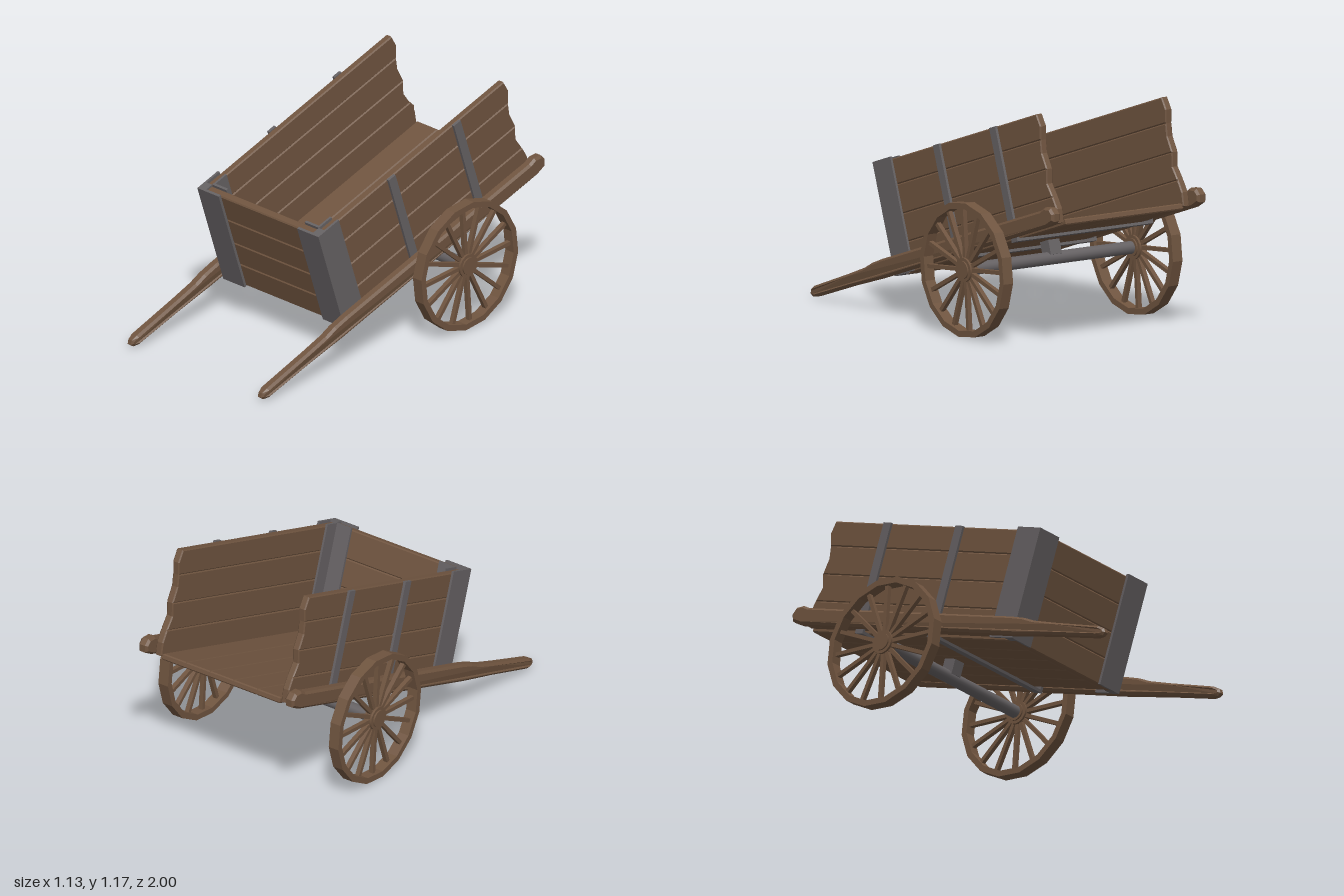
import * as THREE from 'three';

const wood = new THREE.MeshStandardMaterial({ color: 0x6f543f });
wood.name = 'brown wood';
const iron = new THREE.MeshStandardMaterial({ color: 0x656163 });
iron.name = 'grey iron';

function add(parent, name, geometry, material, x = 0, y = 0, z = 0) {
  const mesh = new THREE.Mesh(geometry, material);
  mesh.name = name;
  mesh.position.set(x, y, z);
  parent.add(mesh);
  return mesh;
}

// Board with chamfered edges: outline in XY, thickness centred on z
function slab(points, thickness, bevel = 0.006) {
  const shape = new THREE.Shape(points.map(([a, b]) => new THREE.Vector2(a, b)));
  const g = new THREE.ExtrudeGeometry(shape, {
    depth: thickness - 2 * bevel, bevelEnabled: true, bevelSegments: 1,
    bevelSize: bevel, bevelThickness: bevel, bevelOffset: -bevel,
  });
  return g.translate(0, 0, bevel - thickness / 2);
}
const rect = (a0, b0, a1, b1) => [[a0, b0], [a1, b0], [a1, b1], [a0, b1]];

// Box given by its limits
function block(parent, name, material, x0, x1, y0, y1, z0, z1) {
  return add(parent, name, new THREE.BoxGeometry(x1 - x0, y1 - y0, z1 - z0), material,
    (x0 + x1) / 2, (y0 + y1) / 2, (z0 + z1) / 2);
}

// Worn rear edge of the side walls, as [height, z]
const rearEdge = [[0.315, -1.1], [0.384, -1.11], [0.433, -1.099], [0.521, -1.071], [0.586, -1.093],
  [0.675, -1.077], [0.745, -1.089], [0.806, -1.11], [0.872, -1.095]];
function rearAt(v) {
  const i = Math.max(1, rearEdge.findIndex((p) => p[0] >= v));
  const [v0, z0] = rearEdge[i - 1], [v1, z1] = rearEdge[i];
  return z0 + (z1 - z0) * (v - v0) / (v1 - v0);
}

function createBody() {
  const body = new THREE.Group();
  body.name = 'cartBody';

  // Floor planks
  const w = 0.148;
  for (let i = 0; i < 5; i++) {
    const x = (i - 2) * w;
    const g = slab(rect(x - w / 2, -0.235, x + w / 2, 1.1), 0.032).rotateX(-Math.PI / 2);
    add(body, 'floorPlank', g, wood, 0, 0.316, 0);
  }

  // Front planks
  const frontSeams = [0.3, 0.437, 0.574, 0.722, 0.873];
  for (let i = 0; i < 4; i++) {
    add(body, 'frontPlank', slab(rect(-0.376, frontSeams[i], 0.376, frontSeams[i + 1]), 0.044), wood, 0, 0, 0.258);
  }

  // Side planks with a ragged rear end
  const sideSeams = [0.315, 0.45, 0.592, 0.741, 0.872];
  for (const s of [1, -1]) {
    for (let i = 0; i < 4; i++) {
      const lo = sideSeams[i], hi = sideSeams[i + 1];
      const rear = rearEdge.filter(([v]) => v > lo + 0.01 && v < hi - 0.01).map(([v, z]) => [z, v]).reverse();
      const outline = [[0.24, lo], [0.24, hi], [rearAt(hi), hi], ...rear, [rearAt(lo), lo]].reverse();
      add(body, 'sidePlank', slab(outline, 0.04).rotateY(-Math.PI / 2), wood, s * 0.395, 0, 0);
    }
  }

  // Iron corner plates, inside and outside
  for (const s of [1, -1]) {
    const corner = new THREE.Group();
    corner.name = 'cornerIron';
    body.add(corner);
    const plate = (name, x0, x1, y0, y1, z0, z1) =>
      block(corner, name, iron, Math.min(s * x0, s * x1), Math.max(s * x0, s * x1), y0, y1, z0, z1);
    plate('frontPlate', 0.276, 0.427, 0.3, 0.883, 0.279, 0.294);
    plate('sidePlate', 0.414, 0.427, 0.3, 0.883, 0.142, 0.28);
    plate('innerFrontPlate', 0.276, 0.376, 0.332, 0.883, 0.223, 0.237);
    plate('innerSidePlate', 0.364, 0.376, 0.332, 0.883, 0.142, 0.224);
    plate('cornerPost', 0.376, 0.415, 0.3, 0.883, 0.238, 0.28);
  }

  // Iron straps up the sides and under the floor
  for (const z of [-0.25, -0.735]) {
    for (const s of [1, -1]) block(body, 'sideStrap', iron, s * 0.421 - 0.008, s * 0.421 + 0.008, 0.286, 0.873, z - 0.025, z + 0.025);
    block(body, 'floorStrap', iron, -0.42, 0.42, 0.286, 0.301, z - 0.025, z + 0.025);
  }
  block(body, 'axleBlock', iron, -0.035, 0.035, 0.225, 0.302, -0.49, -0.42);

  // Shafts: thick under the body, thinner towards the handles
  const shaft = [[-1.09, 0.305], [0.35, 0.303], [0.6, 0.31], [0.9, 0.312], [0.935, 0.32], [0.948, 0.338],
    [0.935, 0.358], [0.9, 0.367], [0.6, 0.374], [0.46, 0.38], [0.39, 0.392], [0.3, 0.396], [-1.06, 0.392],
    [-1.1, 0.402], [-1.145, 0.39], [-1.163, 0.355], [-1.15, 0.318]];
  for (const s of [1, -1]) {
    const g = slab(shaft, 0.056, 0.012).rotateY(-Math.PI / 2);
    // narrow the handle end
    const p = g.attributes.position;
    for (let i = 0; i < p.count; i++) if (p.getZ(i) > 0.92) p.setX(i, p.getX(i) * 0.7);
    g.computeVertexNormals();
    add(body, 'shaft', g, wood, s * 0.459, 0, 0);
  }
  return body;
}

function createWheel() {
  const wheel = new THREE.Group();
  wheel.name = 'wheel';
  const sides = 16, start = -4.5 * Math.PI / 180;
  const ring = (r) => Array.from({ length: sides }, (_, i) => {
    const a = start + i * 2 * Math.PI / sides;
    return new THREE.Vector2(r * Math.cos(a), r * Math.sin(a));
  });
  // Rim
  const shape = new THREE.Shape(ring(0.343));
  shape.holes.push(new THREE.Path(ring(0.312)));
  add(wheel, 'rim', new THREE.ExtrudeGeometry(shape, { depth: 0.06, bevelEnabled: false }).translate(0, 0, -0.03), wood);
  // Spokes
  for (let i = 0; i < sides; i++) {
    const a = -start + i * 2 * Math.PI / sides;
    const g = new THREE.BoxGeometry(0.28, 0.02, 0.024).translate(0.18, 0, 0);
    add(wheel, 'spoke', g, wood).rotation.z = a;
  }
  // Hub with a smaller cap on each side
  add(wheel, 'hub', new THREE.CylinderGeometry(0.062, 0.062, 0.046, 16).rotateX(Math.PI / 2), wood);
  add(wheel, 'hubCap', new THREE.CylinderGeometry(0.046, 0.046, 0.062, 16).rotateX(Math.PI / 2), wood);
  wheel.rotation.y = Math.PI / 2;
  return wheel;
}

export function createModel() {
  const cart = new THREE.Group();
  cart.name = 'handCart';

  // Body tipped forward onto its handles
  const body = createBody();
  body.rotation.x = 0.32;
  body.position.x = -0.011;
  cart.add(body);

  // Axle and wheels
  const y = 0.343, z = -0.365;
  add(cart, 'axle', new THREE.CylinderGeometry(0.033, 0.033, 1.05, 16).rotateZ(Math.PI / 2), iron, 0, y, z);
  for (const s of [1, -1]) {
    const wheel = createWheel();
    wheel.position.set(s * 0.534, y, z);
    cart.add(wheel);
  }
  return cart;
}
